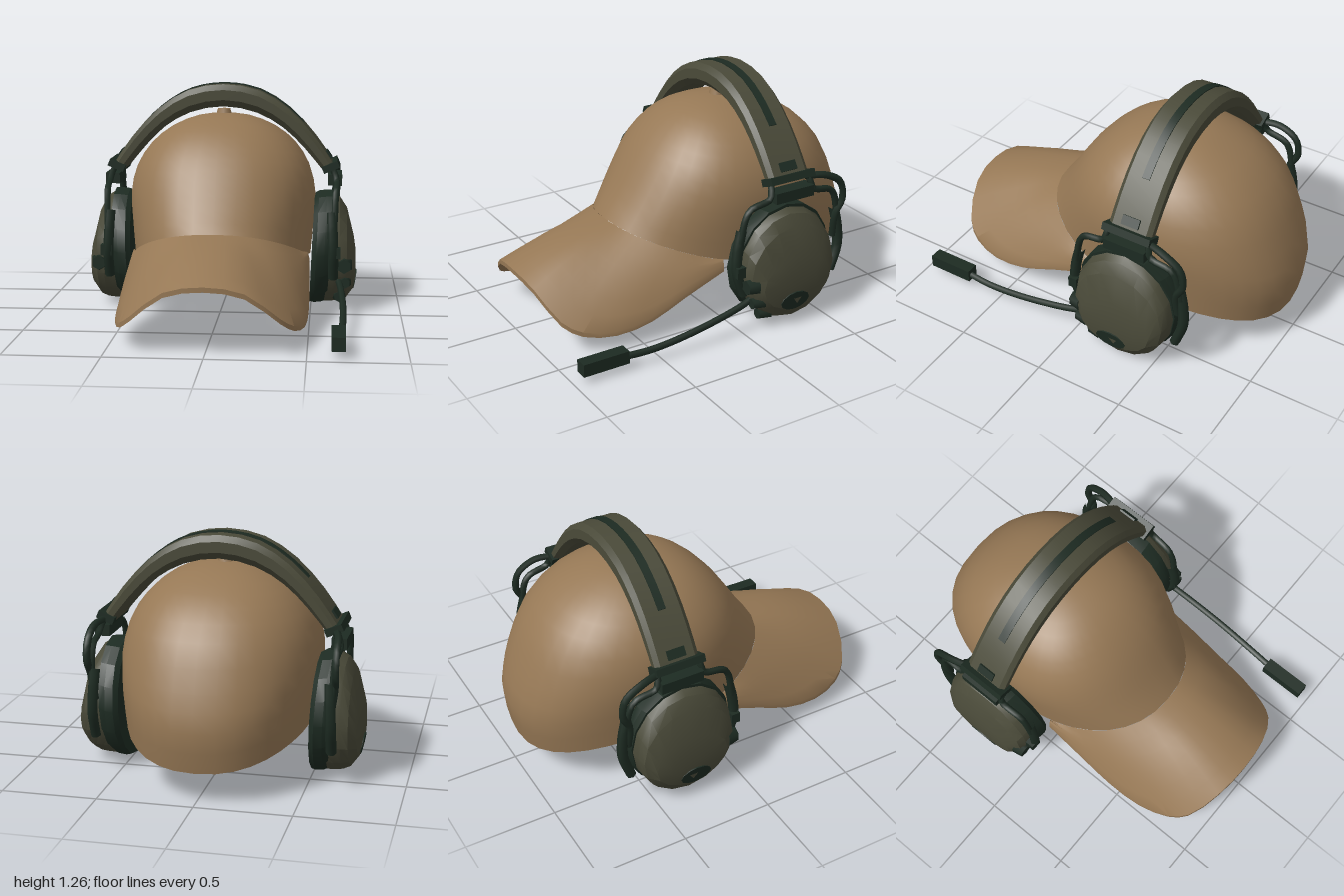
import * as THREE from 'three';
import { toCreasedNormals } from 'three/addons/utils/BufferGeometryUtils.js';

const V = (x, y, z) => new THREE.Vector3(x, y, z);
const lerp = THREE.MathUtils.lerp;

// Surface from a rule: fn(row, col) gives the point; rows and columns run over index ranges
function surface(fn, rows, cols, crease = 0.5) {
  const pos = [], idx = [];
  for (let r = 0; r <= rows; r++)
    for (let c = 0; c <= cols; c++) pos.push(...fn(r, c).toArray());
  for (let r = 0; r < rows; r++)
    for (let c = 0; c < cols; c++) {
      const a = r * (cols + 1) + c, d = a + cols + 1;
      idx.push(a, a + 1, d, a + 1, d + 1, d);
    }
  const g = new THREE.BufferGeometry();
  g.setAttribute('position', new THREE.Float32BufferAttribute(pos, 3));
  g.setIndex(idx);
  return toCreasedNormals(g, crease);
}

// Smooth curve through a half list of points and its mirror image, from -x to +x
function mirroredCurve(half) {
  const pts = half.map(p => V(...p));
  const other = pts.slice(1).reverse().map(p => V(-p.x, p.y, p.z));
  return new THREE.CatmullRomCurve3([...other, ...pts]);
}

export function createModel() {
  const model = new THREE.Group();
  const mat = (name, color, side = THREE.FrontSide) => {
    const m = new THREE.MeshStandardMaterial({ color, side });
    m.name = name;
    return m;
  };
  const tan = mat('tan cloth', 0x967855, THREE.DoubleSide);
  const olive = mat('olive shell', 0x4a4a39);
  const dark = mat('dark green', 0x1d2b22);
  const add = (parent, name, geo, material, p = [0, 0, 0], rot = [0, 0, 0]) => {
    const m = new THREE.Mesh(geo, material);
    m.name = name;
    m.position.set(...p);
    m.rotation.set(...rot);
    parent.add(m);
    return m;
  };

  // Cap crown: front, side and back profiles (radius, height) blended around the apex,
  // on a plan slightly squarer than an ellipse
  const CZ = -0.27;
  const profile = pts => new THREE.CatmullRomCurve3(pts.map(([r, y]) => V(r, y, 0)));
  const front = profile([[.72, .52], [.64, .63], [.55, .77], [.47, .88], [.37, .98], [.26, 1.05], [.13, 1.09], [0, 1.1]]);
  const side = profile([[.495, .3], [.512, .5], [.52, .65], [.487, .8], [.405, .93], [.295, 1.02], [.15, 1.08], [0, 1.1]]);
  const back = profile([[.7, .17], [.73, .38], [.68, .57], [.58, .8], [.44, .95], [.3, 1.03], [.16, 1.08], [0, 1.1]]);
  const squarer = v => Math.sign(v) * Math.abs(v) ** 0.88;
  const crownPoint = (t, angle) => {
    const c = squarer(Math.cos(angle)), s = side.getPoint(t);
    const f = (c > 0 ? front : back).getPoint(t);
    const blend = Math.abs(c) ** (c > 0 ? 1.5 : 2);
    return V(squarer(Math.sin(angle)) * s.x, lerp(s.y, f.y, blend), CZ + c * f.x);
  };
  add(model, 'capCrown', surface((r, c) => crownPoint(r / 14, c / 36 * Math.PI * 2), 14, 36, 0.6), tan);
  add(model, 'capButton', new THREE.CylinderGeometry(.035, .045, .035, 8), tan, [0, 1.104, CZ]);

  // Curved brim: a thin slab from the crown rim to the outer edge and back underneath
  const brimEdge = mirroredCurve([[0, .36, 1], [.2, .325, .98], [.37, .19, .91], [.435, .135, .82],
    [.485, .115, .65], [.5, .145, .45], [.5, .225, .25], [.495, .315, .0]]);
  const BR = 6;
  add(model, 'capBrim', surface((r, c) => {
    const u = 1 - c / 14, under = r > BR;
    const v = (under ? 2 * BR + 1 - r : r) / BR;
    const p = crownPoint(0, u * 1.25).lerp(brimEdge.getPoint((u + 1) / 2), v);
    p.y += .02 * Math.sin(v * Math.PI) - (under ? .025 : 0);
    return p;
  }, 2 * BR + 1, 28, 0.6), tan);

  // Small half-round tab inside the back of the cap
  add(model, 'backTab', new THREE.CylinderGeometry(.08, .08, .008, 12, 1, false, -Math.PI / 2, Math.PI),
    olive, [0, .172, -.952], [-Math.PI / 2, 0, 0]).scale.z = .75;

  // Headband swept between an outer and an inner arc
  const outer = mirroredCurve([[0, 1.26, 0], [.2, 1.225, 0], [.37, 1.12, 0], [.52, .96, 0], [.63, .8, 0]]);
  const inner = mirroredCurve([[0, 1.135, 0], [.19, 1.1, 0], [.34, 1.015, 0], [.46, .9, 0], [.56, .78, 0]]);
  const BZ = -0.325;
  const band = (section, uMax, rows) => surface((r, c) => {
    const u = THREE.MathUtils.clamp((r - 1) / (rows - 2) * 2 - 1, -1, 1) * uMax;
    const [z, w] = r === 0 || r === rows ? [0, .5] : section[c % section.length];
    return inner.getPoint((u + 1) / 2).lerp(outer.getPoint((u + 1) / 2), w).add(V(0, 0, BZ + z));
  }, rows, section.length);
  add(model, 'headband', band([[-.1, 1], [.1, 1], [.125, .75], [.125, .3], [.09, 0], [-.09, 0],
    [-.125, .3], [-.125, .75]], 1, 18), olive);
  add(model, 'headbandStripe', band([[-.022, 1.04], [.022, 1.04], [.022, .98], [-.022, .98]], .63, 18), dark);

  // Ear cup shapes: rings of [x, z radius, y radius, centre y], leaning outward at the top by tilt
  const rings = (list, tilt) => surface((r, c) => {
    const [x, rz, ry, cy] = list[r], a = -(c % 16) / 16 * Math.PI * 2;
    const y = cy + ry * Math.sin(a);
    return V(x + (y - .33) * tilt, y, -.305 + rz * Math.cos(a));
  }, list.length - 1, 16, 0.4);
  const shellGeo = rings([[.55, 0, 0, .33], [.55, .28, .32, .33], [.62, .285, .315, .33], [.66, .28, .3, .32],
    [.7, .265, .26, .3], [.74, .21, .15, .25], [.752, .12, .08, .24], [.752, 0, 0, .24]], 0);
  const cushionGeo = rings([[.515, 0, 0, .33], [.515, .25, .28, .33], [.505, .29, .315, .325], [.53, .31, .325, .33],
    [.575, .305, .325, .335], [.61, .292, .315, .345], [.61, 0, 0, .345]], .04);
  const tube = (pts, r, n = 20) =>
    new THREE.TubeGeometry(new THREE.CatmullRomCurve3(pts.map(p => V(...p))), n, r, 6);

  for (const s of [1, -1]) {
    const ear = new THREE.Group();
    ear.name = s > 0 ? 'leftEarpiece' : 'rightEarpiece';
    ear.scale.x = s;
    model.add(ear);
    add(ear, 'cupShell', shellGeo, olive);
    add(ear, 'cupCushion', cushionGeo, dark);

    // Oval pad low on the outer face
    const pad = new THREE.CylinderGeometry(1, 1, .009, 12).scale(.055, 1, .09);
    add(ear, 'cupPad', pad, dark, [.745, .15, -.29], [0, 0, -Math.PI / 2 - .18]);

    // Band end bracket, slider and cross bar
    add(ear, 'bandBracket', new THREE.BoxGeometry(.095, .04, .28), dark, [.605, .8, BZ], [0, 0, .4]);
    add(ear, 'bandSlider', new THREE.BoxGeometry(.02, .05, .1), dark, [.592, .86, BZ], [0, 0, .6]);
    add(ear, 'crossBar', new THREE.BoxGeometry(.08, .06, .24), dark, [.63, .725, BZ]);

    // Wire yoke with curved arms hugging the cup, front and rear
    for (const k of [1, -1]) {
      const z = d => BZ + k * d;
      add(ear, 'yokeWire', tube([[.62, .38, z(.325)], [.63, .54, z(.31)], [.635, .68, z(.265)], [.64, .72, z(.14)],
        [.63, .76, z(.125)], [.605, .81, z(.12)]], .018), dark);
      add(ear, 'yokeArm', tube([[.615, .57, z(.3)], [.62, .46, z(.325)], [.625, .34, z(.33)], [.625, .2, z(.285)]],
        .028, 10), dark);
    }

    // Cable looping behind the cup
    add(ear, 'cableLoop', tube([[.61, .79, -.42], [.64, .78, -.54], [.645, .72, -.64], [.645, .62, -.66],
      [.64, .54, -.62], [.62, .4, -.62]], .02), dark);

    // Front knob and clip
    add(ear, 'frontKnob', new THREE.CylinderGeometry(.04, .052, .06, 6), dark, [.685, .27, -.045], [Math.PI / 2, 0, 0]);
    add(ear, 'frontClip', new THREE.BoxGeometry(.06, .06, .05), dark, [.635, .35, .0]);
  }

  // Extra controls beside the boom
  for (const [x, y, z] of [[.69, .17, -.08], [.66, .08, -.14]])
    add(model, 'sideKnob', new THREE.CylinderGeometry(.03, .042, .07, 6), dark, [x, y, z], [Math.PI / 2, 0, 0]);

  // Microphone boom
  add(model, 'micBoom', tube([[.65, .19, -.1], [.665, .16, 0], [.68, .105, .3], [.675, .075, .55], [.66, .075, .74]], .018), dark);
  add(model, 'microphone', new THREE.BoxGeometry(.07, .07, .26), dark, [.655, .08, .825]);

  return model;
}
